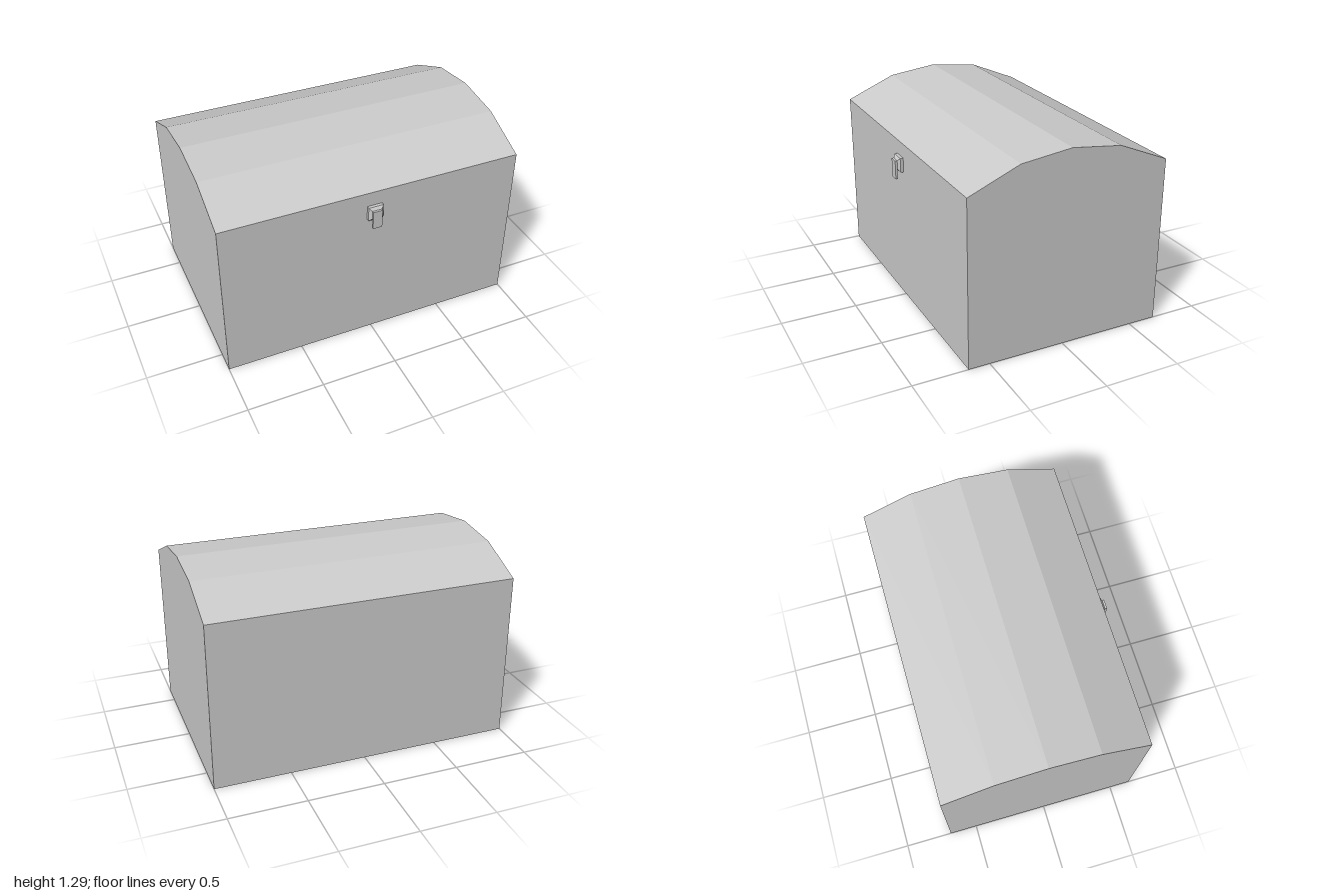
import * as THREE from 'three';

const material = new THREE.MeshStandardMaterial({ color: 0xcccccc, flatShading: true });

function addPart(parent, name, geometry, x, y, z) {
  const mesh = new THREE.Mesh(geometry, material);
  mesh.name = name;
  mesh.position.set(x, y, z);
  parent.add(mesh);
  return mesh;
}

// Box whose front (+z) face is narrowed to w1 by h1
function taperedBox(w, h, d, w1, h1) {
  const geometry = new THREE.BoxGeometry(w, h, d);
  const p = geometry.attributes.position;
  for (let i = 0; i < p.count; i++) {
    if (p.getZ(i) > 0) p.setXY(i, Math.sign(p.getX(i)) * w1 / 2, Math.sign(p.getY(i)) * h1 / 2);
  }
  geometry.computeVertexNormals();
  return geometry;
}

export function createModel() {
  const group = new THREE.Group();
  group.name = 'chest';
  const width = 2, halfDepth = 0.663, centreZ = -0.023, seam = 0.81;

  // Lower box
  addPart(group, 'base', new THREE.BoxGeometry(width, seam, halfDepth * 2), 0, seam / 2, centreZ);

  // Faceted barrel lid, extruded along the width
  const profile = [
    [-halfDepth, seam], [halfDepth, seam], [halfDepth, 1.105],
    [0.331, 1.245], [0, 1.286], [-0.331, 1.245], [-halfDepth, 1.105],
  ].map(([x, y]) => new THREE.Vector2(x, y));
  const lidGeometry = new THREE.ExtrudeGeometry(new THREE.Shape(profile), { depth: width, bevelEnabled: false });
  lidGeometry.translate(0, 0, -width / 2).rotateY(Math.PI / 2);
  addPart(group, 'lid', lidGeometry, 0, 0, centreZ);

  // Latch: mounting block with a chamfered front and a hanging hasp
  const latch = new THREE.Group();
  latch.name = 'latch';
  addPart(latch, 'latchMount', new THREE.BoxGeometry(0.1, 0.096, 0.02), 0, 0.961, 0.65);
  addPart(latch, 'latchChamfer', taperedBox(0.1, 0.096, 0.014, 0.062, 0.058), 0, 0.961, 0.667);
  addPart(latch, 'latchHasp', new THREE.BoxGeometry(0.062, 0.125, 0.014), 0, 0.9275, 0.681);
  group.add(latch);

  return group;
}
